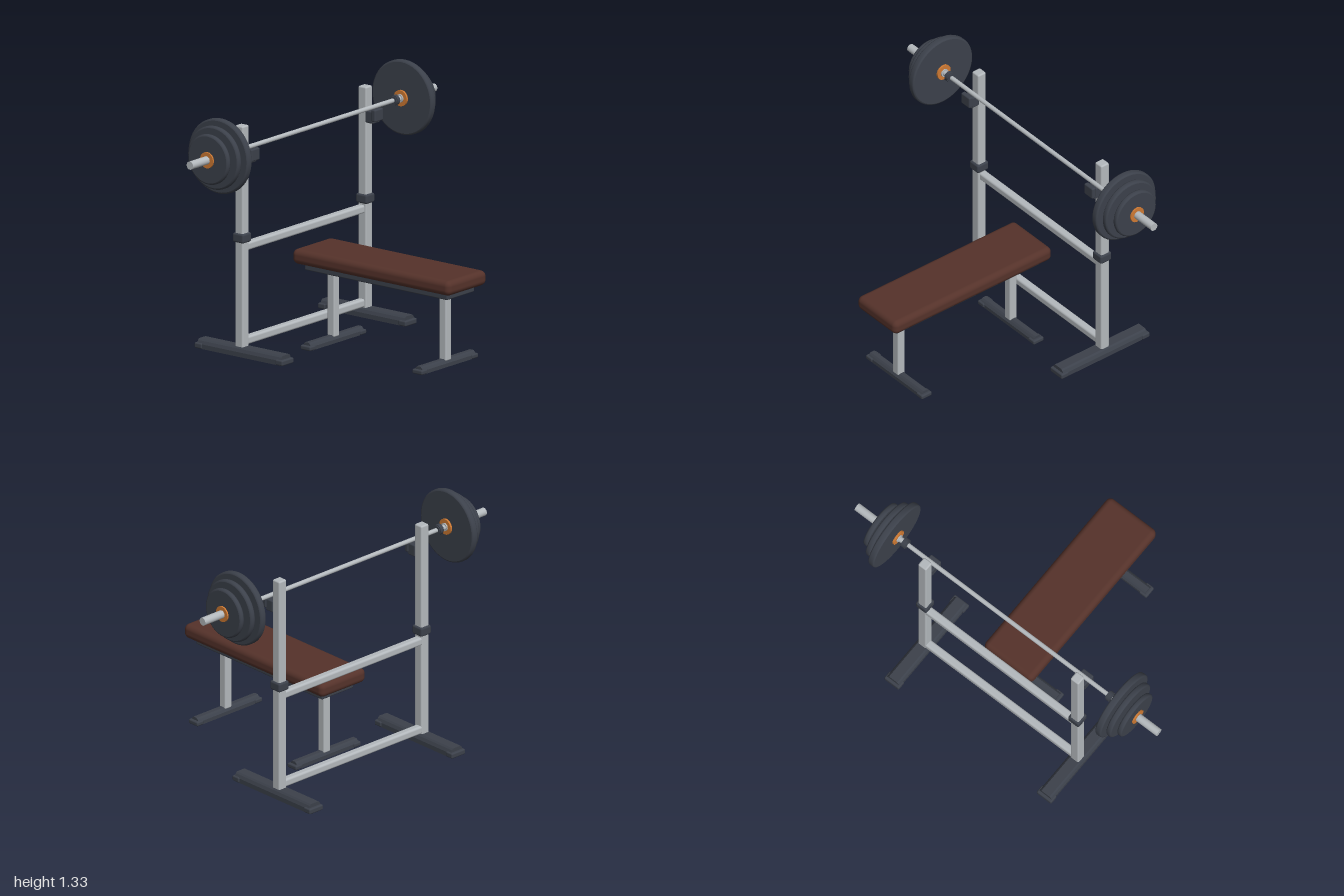
import * as THREE from 'three';
import { RoundedBoxGeometry } from 'three/addons/geometries/RoundedBoxGeometry.js';

const material = (name, color) => {
  const m = new THREE.MeshStandardMaterial({ color });
  m.name = name;
  return m;
};

export function createModel() {
  const steel = material('steel', 0xb4b9bd);
  const rubber = material('dark rubber', 0x3c414b);
  const leather = material('brown leather', 0x55322a);
  const copper = material('copper', 0xcf7a33);

  const model = new THREE.Group();
  model.name = 'weightBench';

  const add = (parent, name, geometry, mat, x = 0, y = 0, z = 0) => {
    const mesh = new THREE.Mesh(geometry, mat);
    mesh.name = name;
    mesh.position.set(x, y, z);
    parent.add(mesh);
    return mesh;
  };
  // Rounded box given by its ranges [min, max] on each axis
  const block = (parent, name, mat, [x0, x1], [y0, y1], [z0, z1], r = 0.01, seg = 2) =>
    add(parent, name, new RoundedBoxGeometry(x1 - x0, y1 - y0, z1 - z0, seg, r), mat,
      (x0 + x1) / 2, (y0 + y1) / 2, (z0 + z1) / 2);
  // Cylinder lying along x
  const rod = (parent, name, mat, x0, x1, r, y, z) =>
    add(parent, name, new THREE.CylinderGeometry(r, r, Math.abs(x1 - x0), 32).rotateZ(Math.PI / 2),
      mat, (x0 + x1) / 2, y, z);

  // Floor foot running along z: sloped beam with a lower cap on each end
  const floorFoot = (name, half, width, height, capHeight) => {
    const g = new THREE.Group();
    g.name = name;
    const w = width / 2, c = 0.008;
    const section = new THREE.Shape([
      [-w, 0], [w, 0], [w, height * 0.5], [w - c, height - c], [w - 2 * c, height],
      [-w + 2 * c, height], [-w + c, height - c], [-w, height * 0.5],
    ].map(p => new THREE.Vector2(...p)));
    const beam = new THREE.ExtrudeGeometry(section, { depth: 2 * half - 0.03, bevelEnabled: false });
    add(g, 'footBeam', beam, rubber, 0, 0, -half + 0.015);
    for (const s of [-1, 1]) {
      const z = s * (half - 0.025);
      block(g, 'footCap', rubber, [-w - 0.006, w + 0.006], [0, capHeight], [z - 0.025, z + 0.025], 0.008);
    }
    model.add(g);
    return g;
  };

  // Bench: pad, backing board, support plate
  block(model, 'pad', leather, [-0.16, 0.16], [0.425, 0.505], [-0.365, 0.69], 0.03, 4);
  block(model, 'backingBoard', rubber, [-0.128, 0.128], [0.421, 0.428], [-0.335, 0.66], 0.002, 1);
  block(model, 'supportPlate', rubber, [-0.112, 0.112], [0.39, 0.426], [-0.315, 0.64], 0.007);

  // Bench legs, each on a crosswise foot
  for (const [label, z] of [['front', 0.536], ['rear', -0.212]]) {
    block(model, label + 'Leg', steel, [-0.0235, 0.0235], [0.03, 0.395], [z - 0.0235, z + 0.0235], 0.008);
    const foot = floorFoot(label + 'LegFoot', 0.232, 0.056, 0.04, 0.025);
    foot.rotation.y = Math.PI / 2;
    foot.position.z = z;
  }

  // Rack: uprights, collars, hooks, feet
  for (const s of [-1, 1]) {
    const side = s > 0 ? 'left' : 'right';
    const x = s * 0.505, z = -0.412;
    const span = h => [x - h, x + h];
    block(model, side + 'Upright', steel, span(0.027), [0.04, 1.235], [z - 0.027, z + 0.027], 0.009);
    block(model, side + 'Collar', rubber, span(0.036), [0.608, 0.659], [z - 0.037, z + 0.037], 0.011);
    block(model, side + 'HookBase', rubber, span(0.03), [1.045, 1.112], [-0.39, -0.335], 0.008);
    block(model, side + 'HookLip', rubber, span(0.035), [1.058, 1.124], [-0.345, -0.318], 0.008);
    floorFoot(side + 'RackFoot', 0.295, 0.085, 0.05, 0.03).position.set(x, 0, -0.398);
  }

  // Cross bars between the uprights
  for (const y of [0.578, 0.073])
    block(model, 'crossBar', steel, [-0.49, 0.49], [y - 0.022, y + 0.022], [-0.439, -0.395], 0.012, 3);

  // Barbell
  const barbell = new THREE.Group();
  barbell.name = 'barbell';
  barbell.position.set(0, 1.13, -0.356);
  model.add(barbell);
  rod(barbell, 'shaft', steel, -0.73, 0.73, 0.012, 0, 0);

  // Plate disc with a softened rim, turned to face along x
  const plateGeometry = (r, t) => {
    const h = t / 2, b = 0.009;
    const profile = [[0, -h], [r - b, -h], [r - b, -h], [r - b * 0.3, -h + b * 0.3], [r, -h + b],
      [r, h - b], [r - b * 0.3, h - b * 0.3], [r - b, h], [r - b, h], [0, h]];
    return new THREE.LatheGeometry(profile.map(p => new THREE.Vector2(...p)), 48).rotateZ(Math.PI / 2);
  };
  const plates = [['large', 0.2, 0.752, 0.038], ['medium', 0.169, 0.797, 0.032], ['small', 0.134, 0.841, 0.029]];
  for (const s of [-1, 1]) {
    rod(barbell, 'sleeve', steel, s * 0.715, s, 0.022, 0, 0);
    rod(barbell, 'hub', copper, s * 0.722, s * 0.864, 0.043, 0, 0);
    rod(barbell, 'innerCollar', rubber, s * 0.667, s * 0.688, 0.028, 0, 0);
    rod(barbell, 'innerCollarRim', rubber, s * 0.662, s * 0.693, 0.023, 0, 0);
    rod(barbell, 'sleeveNeck', steel, s * 0.688, s * 0.72, 0.015, 0, 0);
    for (const [size, r, x, t] of plates)
      add(barbell, size + 'Plate', plateGeometry(r, t), rubber, s * x);
  }
  return model;
}
